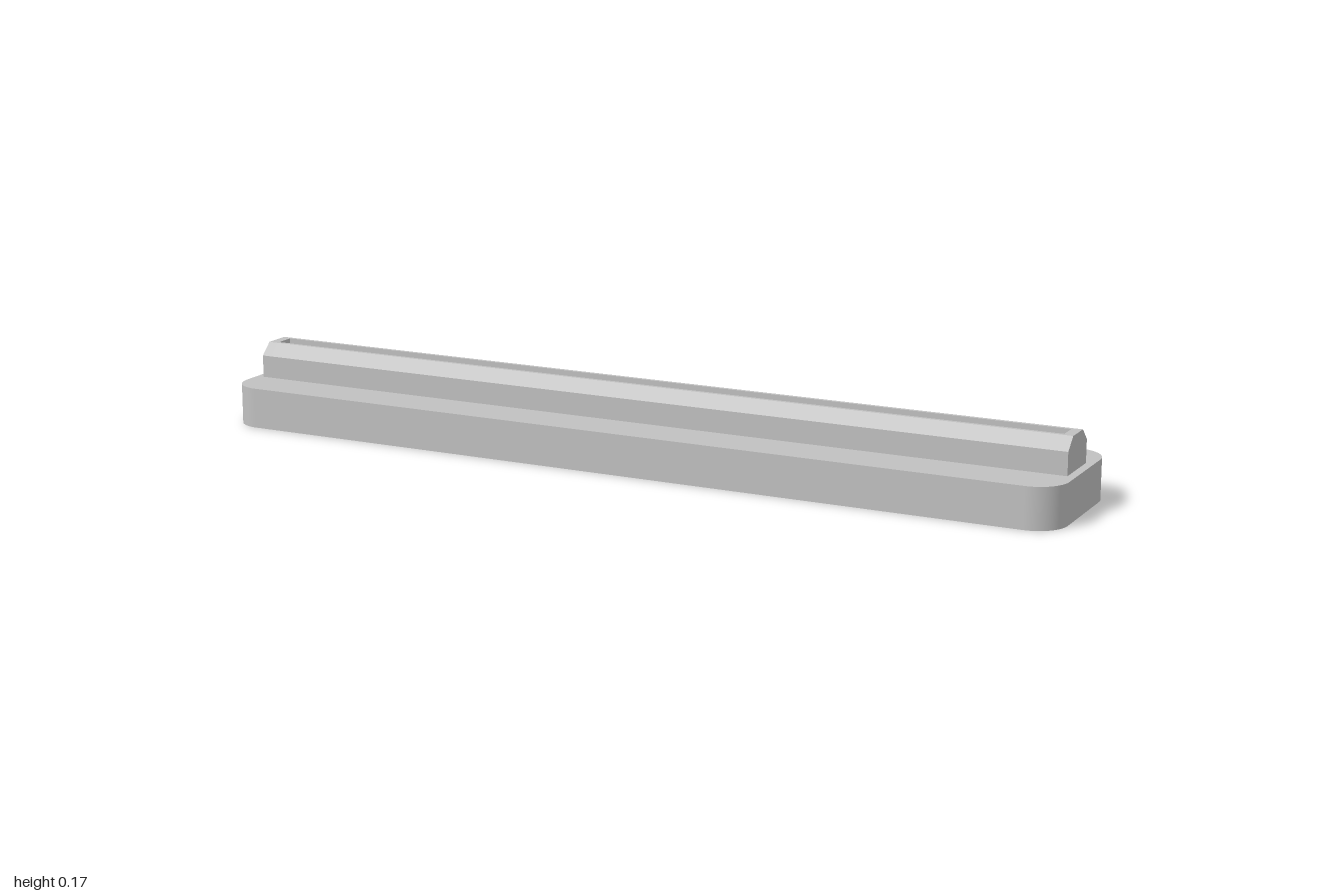
import * as THREE from 'three';

const HALF_X = 1, HALF_Z = 0.169, BASE_H = 0.092, CORNER = 0.07;
const RAIL_X = 0.982, SLOT_X = 0.96, TOP = 0.17;

// Extrudes a (z, y) cross-section along x between two positions
function extrudeAlongX(points, x0, x1) {
  const shape = new THREE.Shape(points.map(([z, y]) => new THREE.Vector2(-z, y)));
  const geo = new THREE.ExtrudeGeometry(shape, { depth: x1 - x0, bevelEnabled: false });
  geo.rotateY(Math.PI / 2);
  geo.translate(x0, 0, 0);
  return geo;
}

// Flat slab with rounded vertical corners and smooth corner normals
function roundedSlab() {
  const r = CORNER, a = HALF_X - r, b = HALF_Z - r;
  const shape = new THREE.Shape();
  shape.absarc(a, b, r, 0, Math.PI / 2);
  shape.absarc(-a, b, r, Math.PI / 2, Math.PI);
  shape.absarc(-a, -b, r, Math.PI, Math.PI * 1.5);
  shape.absarc(a, -b, r, Math.PI * 1.5, Math.PI * 2);
  const geo = new THREE.ExtrudeGeometry(shape, { depth: BASE_H, bevelEnabled: false, curveSegments: 16 });
  geo.rotateX(-Math.PI / 2);
  // Corner walls take their normals from the arc centres
  const p = geo.attributes.position, n = geo.attributes.normal;
  for (let i = 0; i < p.count; i++) {
    if (Math.abs(n.getY(i)) > 0.5) continue;
    const dx = p.getX(i) - THREE.MathUtils.clamp(p.getX(i), -a, a);
    const dz = p.getZ(i) - THREE.MathUtils.clamp(p.getZ(i), -b, b);
    const len = Math.hypot(dx, dz);
    n.setXYZ(i, dx / len, 0, dz / len);
  }
  return geo;
}

export function createModel() {
  const group = new THREE.Group();
  const grey = new THREE.MeshStandardMaterial({ color: 0xc0c0c0 });
  grey.name = 'lightGrey';
  const add = (name, geo) => {
    const mesh = new THREE.Mesh(geo, grey);
    mesh.name = name;
    group.add(mesh);
  };

  add('base', roundedSlab());

  // Chamfered rail halves on either side of the slot
  const wall = [[0.022, BASE_H], [0.059, BASE_H], [0.059, 0.143], [0.031, TOP], [0.022, TOP]];
  const mirrored = wall.map(([z, y]) => [-z, y]);
  add('frontRailWall', extrudeAlongX(wall, -SLOT_X, SLOT_X));
  add('backRailWall', extrudeAlongX(mirrored, -SLOT_X, SLOT_X));

  // Solid end caps closing the slot
  const outline = [...wall.slice(1, 4), ...mirrored.slice(1, 4).reverse()];
  add('leftRailEnd', extrudeAlongX(outline, SLOT_X, RAIL_X));
  add('rightRailEnd', extrudeAlongX(outline, -RAIL_X, -SLOT_X));

  return group;
}
